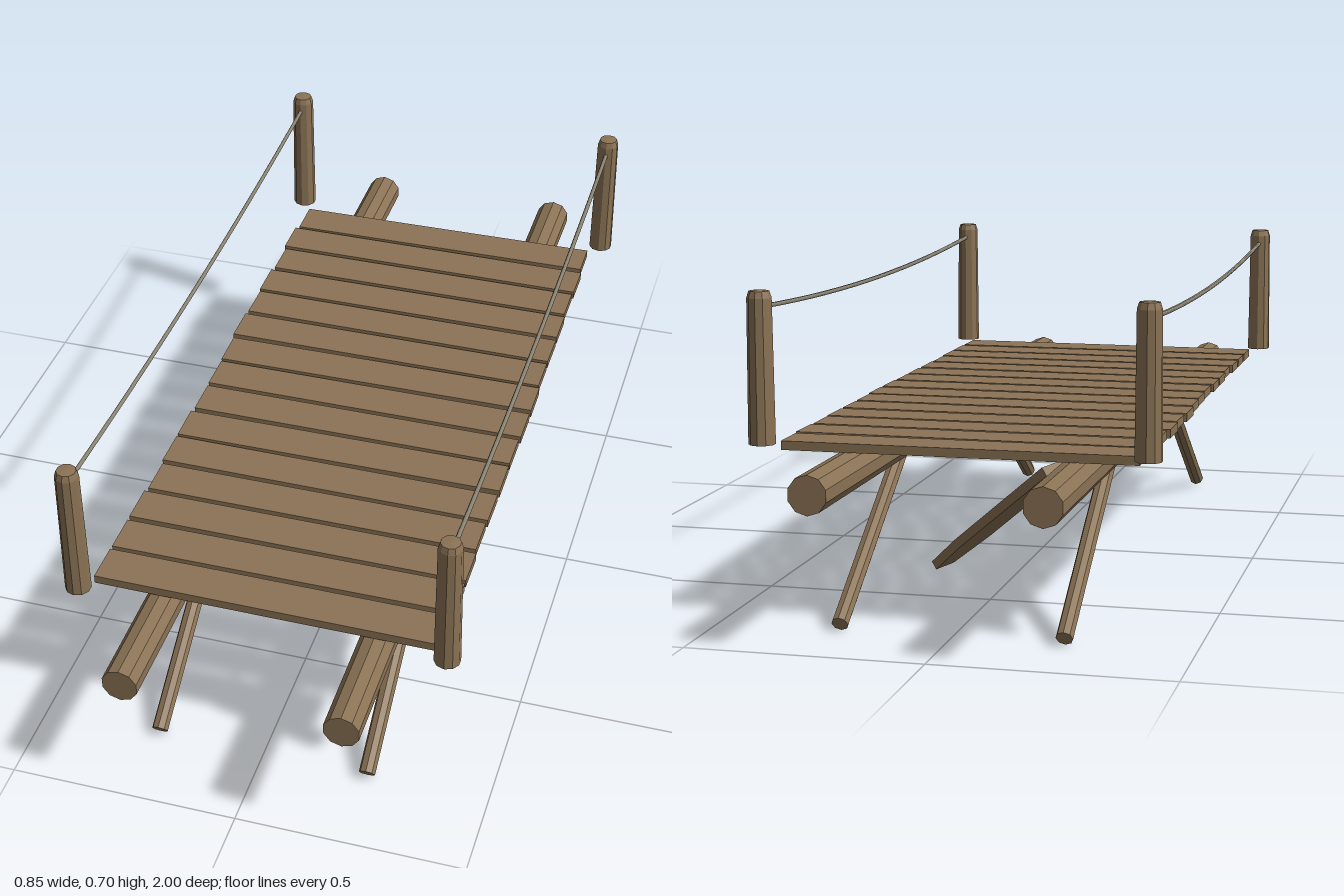
import * as THREE from 'three';

const wood = new THREE.MeshStandardMaterial({ color: 0x8b7355, flatShading: true });
const ropeMaterial = new THREE.MeshStandardMaterial({ color: 0x8c8675 });

// Small seeded generator, values in -1..1
function seeded(seed) {
  return () => {
    seed = (seed * 16807) % 2147483647;
    return (seed / 2147483647) * 2 - 1;
  };
}

function add(parent, name, geometry, material = wood) {
  const mesh = new THREE.Mesh(geometry, material);
  mesh.name = name;
  parent.add(mesh);
  return mesh;
}

// Round timber between two points
function pole(parent, name, a, b, radiusA, radiusB, sides) {
  const dir = b.clone().sub(a);
  const mesh = add(parent, name, new THREE.CylinderGeometry(radiusB, radiusA, dir.length(), sides));
  mesh.position.copy(a).add(b).multiplyScalar(0.5);
  mesh.quaternion.setFromUnitVectors(new THREE.Vector3(0, 1, 0), dir.normalize());
  return mesh;
}

export function createModel() {
  const group = new THREE.Group();
  const V = (x, y, z) => new THREE.Vector3(x, y, z);
  const rand = seeded(4321);

  // Deck planks, slightly uneven
  const deck = new THREE.Group();
  deck.name = 'deck';
  group.add(deck);
  for (let i = 0; i < 15; i++) {
    const plank = add(deck, 'deckPlank', new THREE.BoxGeometry(0.756 + rand() * 0.008, 0.019, 0.091));
    plank.position.set(rand() * 0.003, 0.3715, (i - 7) * 0.1023);
    plank.rotation.y = rand() * 0.006;
  }

  // Post outline: slight taper and a chamfered top
  const postProfile = [[0, 0], [0.028, 0], [0.0255, 0.3], [0.021, 0.314], [0, 0.316]]
    .map(([r, y]) => new THREE.Vector2(r, y));

  for (const side of [-1, 1]) {
    // Long support logs
    pole(group, 'supportLog', V(side * 0.235, 0.322, -1), V(side * 0.235, 0.323, 1), 0.041, 0.039, 10);

    for (const end of [-1, 1]) {
      // Diagonal struts under the logs
      pole(group, 'strut', V(side * 0.235, 0.0155, end * 0.814), V(side * 0.235, 0.315, end * 0.35), 0.018, 0.018, 8);

      // Corner posts
      const post = add(group, 'railPost', new THREE.LatheGeometry(postProfile, 10));
      post.position.set(side * 0.4, 0.38, end * 0.8);
    }

    // Sagging rope rail
    const rope = new THREE.QuadraticBezierCurve3(
      V(side * 0.4, 0.661, -0.8), V(side * 0.4, 0.613, 0), V(side * 0.4, 0.661, 0.8));
    add(group, 'ropeRail', new THREE.TubeGeometry(rope, 16, 0.005, 6), ropeMaterial);
  }

  // Loose board hanging below the deck, narrowed at its lower end
  const top = V(-0.195, 0.338, -0.68), tip = V(0.125, 0.06, -0.432);
  const length = top.distanceTo(tip);
  const outline = new THREE.Shape([
    [-0.026, 0], [0.026, 0], [0.045, 0.13], [0.045, length], [-0.045, length], [-0.045, 0.13],
  ].map(([x, y]) => new THREE.Vector2(x, y)));
  const board = add(group, 'hangingBoard',
    new THREE.ExtrudeGeometry(outline, { depth: 0.02, bevelEnabled: false }).translate(0, 0, -0.01));
  const along = top.clone().sub(tip).normalize();
  const across = along.clone().cross(V(0.55, 0.8, 0.23)).normalize();
  const normal = across.clone().cross(along);
  board.quaternion.setFromRotationMatrix(new THREE.Matrix4().makeBasis(across, along, normal));
  board.position.copy(tip);

  return group;
}
